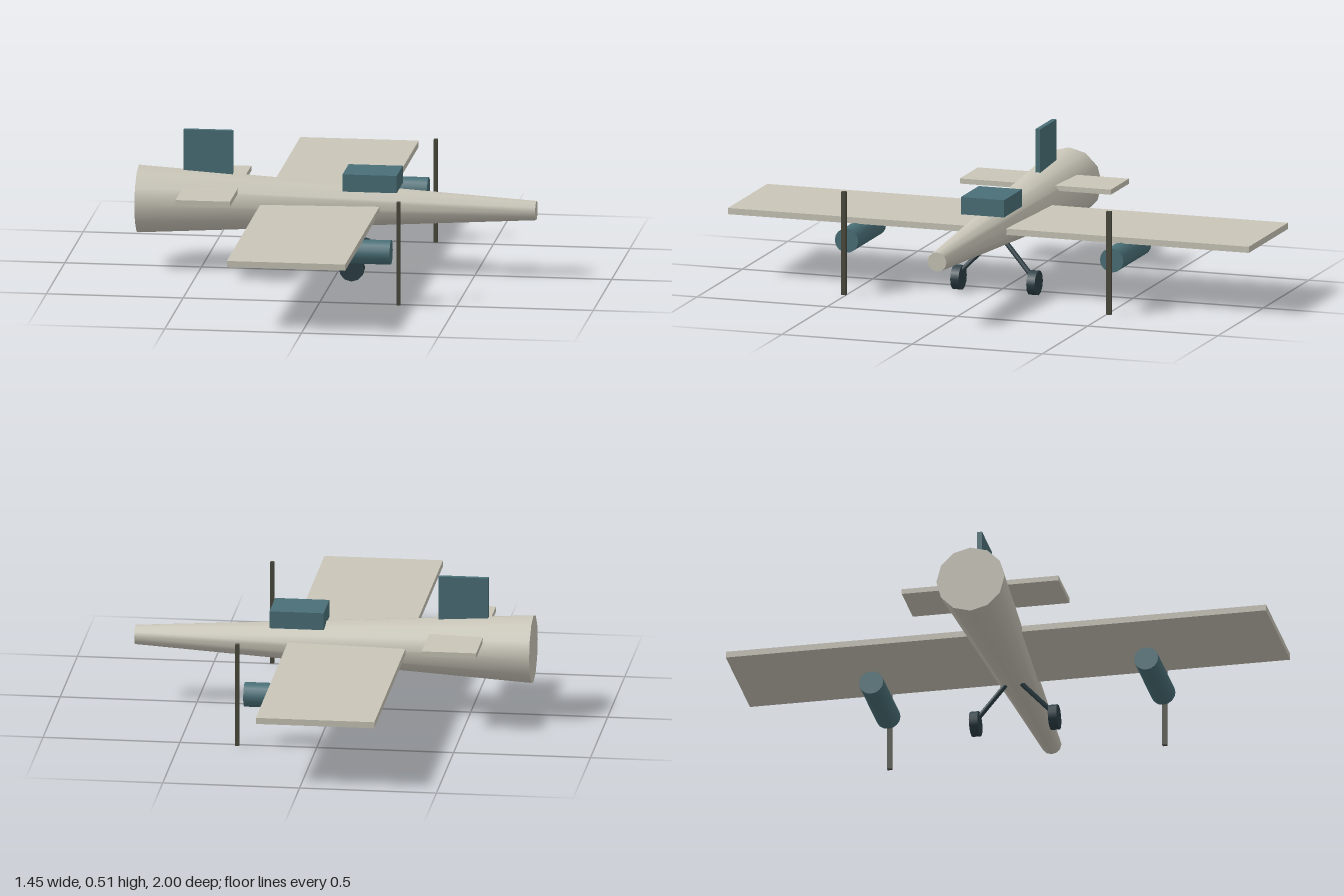
import * as THREE from 'three';

export function createModel() {
  const model = new THREE.Group();
  model.name = 'airplane';

  const material = (name, color) => {
    const m = new THREE.MeshStandardMaterial({ color });
    m.name = name;
    return m;
  };
  const cream = material('cream', 0xc9c5b8);
  const teal = material('teal', 0x4a7078);
  const darkTeal = material('dark teal', 0x2c3f46);
  const olive = material('dark olive', 0x4a493d);

  const add = (name, geometry, mat, x, y, z) => {
    const mesh = new THREE.Mesh(geometry, mat);
    mesh.name = name;
    mesh.position.set(x, y, z);
    model.add(mesh);
    return mesh;
  };
  // Box given by its min and max on each axis
  const box = (name, mat, [x0, x1], [y0, y1], [z0, z1]) =>
    add(name, new THREE.BoxGeometry(x1 - x0, y1 - y0, z1 - z0), mat,
      (x0 + x1) / 2, (y0 + y1) / 2, (z0 + z1) / 2);

  // Tapered fuselage, narrow at the nose (+x)
  const fuselage = new THREE.CylinderGeometry(0.036, 0.126, 1.454, 12).rotateZ(-Math.PI / 2);
  add('fuselage', fuselage, cream, -0.002, 0.248, 0);

  // Flying surfaces and cabin
  box('wing', cream, [-0.273, 0.16], [0.237, 0.26], [-1, 1]);
  box('tailplane', cream, [-0.556, -0.357], [0.295, 0.314], [-0.29, 0.29]);
  box('fin', teal, [-0.565, -0.384], [0.33, 0.512], [-0.009, 0.009]);
  box('cabin', teal, [0.027, 0.225], [0.316, 0.38], [-0.083, 0.083]);

  for (const side of [1, -1]) {
    // Engine hanging under the wing, with an upright propeller blade ahead
    const engine = new THREE.CylinderGeometry(0.045, 0.045, 0.308, 16).rotateZ(-Math.PI / 2);
    add('engine', engine, teal, 0.108, 0.195, side * 0.509);
    box('propeller', olive, [0.282, 0.296], [0, 0.383], [side * 0.509 - 0.009, side * 0.509 + 0.009]);

    // Wheel and slanted strut
    const wheel = new THREE.CylinderGeometry(0.046, 0.046, 0.032, 12).rotateX(Math.PI / 2);
    add('wheel', wheel, darkTeal, 0.07, 0.047, side * 0.146);
    const top = new THREE.Vector3(0.045, 0.18, side * 0.03);
    const foot = new THREE.Vector3(0.073, 0.065, side * 0.142);
    const along = foot.clone().sub(top);
    const strut = add('strut', new THREE.CylinderGeometry(0.009, 0.009, along.length(), 8), darkTeal, 0, 0, 0);
    strut.position.addVectors(top, foot).multiplyScalar(0.5);
    strut.quaternion.setFromUnitVectors(new THREE.Vector3(0, 1, 0), along.normalize());
  }
  return model;
}
